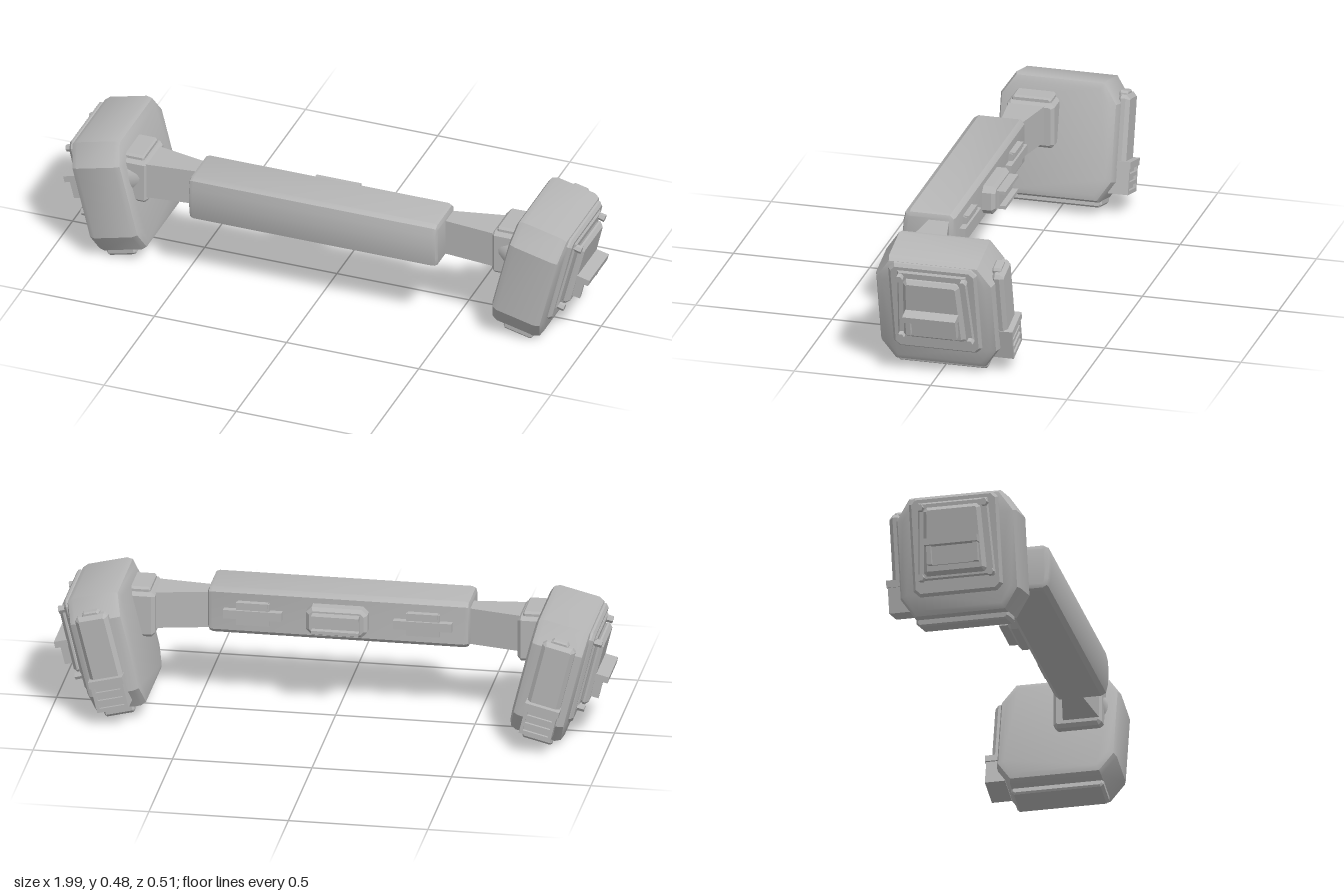
import * as THREE from 'three';
import { toCreasedNormals } from 'three/addons/utils/BufferGeometryUtils.js';

const grey = new THREE.MeshStandardMaterial({ color: 0xb6b6b6 });
grey.name = 'grey';

// Bevelled slab: outline pulled along z from a to b.
function extrude(points, a, b, bevel, segments) {
  const shape = new THREE.Shape(points.map(([u, v]) => new THREE.Vector2(u, v)));
  const g = new THREE.ExtrudeGeometry(shape, {
    depth: b - a - 2 * bevel, bevelEnabled: bevel > 0, bevelThickness: bevel,
    bevelSize: bevel, bevelOffset: -bevel, bevelSegments: segments,
  });
  return g.translate(0, 0, a + bevel);
}

function add(parent, name, geometry) {
  const mesh = new THREE.Mesh(toCreasedNormals(geometry, 0.45), grey);
  mesh.name = name;
  parent.add(mesh);
  return mesh;
}

// Outline given as [z, y], pulled along x from a to b (mirrored when s = -1).
function slabX(parent, name, s, zy, a, b, bevel = 0, segments = 1) {
  const [lo, hi] = s > 0 ? [a, b] : [-b, -a];
  const g = extrude(zy.map(([z, y]) => [-z, y]), lo, hi, bevel, segments);
  return add(parent, name, g.rotateY(Math.PI / 2));
}

// Outline given as [x, y], pulled along z from a to b.
function slabZ(parent, name, xy, a, b, bevel = 0) {
  return add(parent, name, extrude(xy, a, b, bevel, 1));
}

// Rectangle with cut corners.
function cutRect(u0, u1, v0, v1, cu, cv = cu) {
  return [[u0 + cu, v0], [u1 - cu, v0], [u1, v0 + cv], [u1, v1 - cv],
    [u1 - cu, v1], [u0 + cu, v1], [u0, v1 - cv], [u0, v0 + cv]];
}

function box(parent, name, x0, x1, y0, y1, z0, z1, s = 1) {
  const g = new THREE.BoxGeometry(x1 - x0, y1 - y0, z1 - z0);
  return add(parent, name, g.translate(s * (x0 + x1) / 2, (y0 + y1) / 2, (z0 + z1) / 2));
}

function makePod(s) {
  const pod = new THREE.Group();
  pod.name = s > 0 ? 'leftPod' : 'rightPod';
  pod.position.set(s * 0.8, 0.25, 0);
  pod.rotation.z = -s * 0.244;

  // Shell and foot
  slabX(pod, 'podShell', s, cutRect(-0.207, 0.228, -0.219, 0.219, 0.052, 0.078), -0.106, 0.094, 0.028, 2);
  slabX(pod, 'podFoot', s, cutRect(-0.157, 0.177, -0.242, -0.2, 0.01), -0.05, 0.06, 0.006);

  // Stepped outer panel
  slabX(pod, 'outerPanel', s, cutRect(-0.152, 0.172, -0.145, 0.213, 0.022), 0.08, 0.108, 0.01);
  slabX(pod, 'innerPanel', s, [[-0.13, -0.09], [0.15, -0.09], [0.136, 0.19], [-0.116, 0.19]], 0.1, 0.115, 0.006);
  slabX(pod, 'pocketCover', s,
    [[-0.095, -0.078], [0.113, -0.078], [0.122, -0.066], [0.112, 0.155], [0.1, 0.168], [-0.082, 0.168], [-0.094, 0.155], [-0.104, -0.066]],
    0.11, 0.143, 0.013);

  // Bolts
  for (const [z, y] of [[0.125, 0.17], [-0.107, 0.17], [0.135, -0.082], [-0.117, -0.082]]) {
    const g = new THREE.CylinderGeometry(0.013, 0.014, 0.03, 6).rotateZ(Math.PI / 2);
    add(pod, 'bolt', g.translate(s * 0.122, y, z));
  }

  // Latch: overhanging ledge, two posts and a recessed plate
  box(pod, 'latchLedge', 0.13, 0.19, 0.022, 0.046, -0.088, 0.106, s);
  box(pod, 'latchPlate', 0.13, 0.152, -0.045, 0.022, -0.07, 0.088, s);
  for (const z of [-0.083, 0.085]) box(pod, 'latchPost', 0.13, 0.172, -0.045, 0.022, z, z + 0.016, s);

  // Rear strap plate and slatted buckle
  slabZ(pod, 'rearPlate', cutRect(-0.06, 0.06, -0.095, 0.17, 0.012), -0.236, -0.19, 0.014);
  slabZ(pod, 'rearPlateTab', cutRect(-0.032, 0.032, 0.14, 0.182, 0.008), -0.222, -0.19, 0.005);
  box(pod, 'buckleBody', -0.055, 0.055, -0.185, -0.09, -0.243, -0.18);
  box(pod, 'buckleLip', -0.063, 0.063, -0.092, -0.066, -0.257, -0.18);
  for (const x of [-0.058, 0.046]) box(pod, 'buckleSide', x, x + 0.012, -0.185, -0.09, -0.253, -0.18);
  for (let i = 0; i < 3; i++) {
    box(pod, 'buckleSlat', -0.047, 0.047, -0.185 + i * 0.03, -0.171 + i * 0.03, -0.253, -0.24);
  }

  // Round hinge on the inner face
  const hinge = new THREE.CylinderGeometry(0.075, 0.06, 0.05, 24).rotateZ(s * -Math.PI / 2);
  add(pod, 'hinge', hinge.translate(s * -0.118, 0.07, 0.12));
  return pod;
}

function makeLink(s) {
  const link = new THREE.Group();
  link.name = s > 0 ? 'leftLink' : 'rightLink';

  // Connector block with a stepped cap
  slabX(link, 'connectorBlock', s, cutRect(0.005, 0.18, 0.25, 0.418, 0.012), 0.65, 0.76, 0.012);
  slabX(link, 'connectorCap', s, cutRect(0.02, 0.165, 0.4, 0.435, 0.008), 0.668, 0.75, 0.006);

  // Strap tapering towards the belt
  const strap = new THREE.BoxGeometry(0.24, 0.135, 1);
  const p = strap.attributes.position;
  for (let i = 0; i < p.count; i++) {
    const outer = p.getX(i) * s > 0;
    const front = p.getZ(i) > 0;
    p.setZ(i, outer ? (front ? 0.175 : 0.035) : (front ? 0.15 : 0.085));
  }
  strap.computeVertexNormals();
  add(link, 'strap', strap.translate(s * 0.56, 0.342, 0));
  return link;
}

export function createModel() {
  const model = new THREE.Group();
  model.name = 'beltWithPods';

  // Padded belt with a gently bowed front
  slabX(model, 'belt', 1, [
    [0.075, 0.262], [0.225, 0.262], [0.243, 0.272], [0.25, 0.3], [0.253, 0.35],
    [0.25, 0.395], [0.243, 0.425], [0.225, 0.436], [0.075, 0.436], [0.058, 0.42], [0.058, 0.278],
  ], -0.47, 0.47, 0.018, 2);

  // Rear centre buckle: stepped block with a raised rim
  slabZ(model, 'centreBuckle', cutRect(-0.11, 0.11, 0.295, 0.4, 0.02), 0.012, 0.07, 0.012);
  box(model, 'centreBuckleFace', -0.085, 0.085, 0.325, 0.37, 0, 0.03);
  for (const y of [0.315, 0.37]) box(model, 'centreBuckleRim', -0.085, 0.085, y, y + 0.012, -0.022, 0.03);

  // Rear clips
  for (const s of [-1, 1]) {
    box(model, 'clipBar', 0.2, 0.41, 0.33, 0.362, 0.035, 0.07, s);
    box(model, 'clipPlate', 0.245, 0.365, 0.305, 0.388, 0.043, 0.07, s);
    box(model, 'clipTab', 0.25, 0.36, 0.375, 0.392, 0.036, 0.07, s);
    model.add(makeLink(s), makePod(s));
  }
  return model;
}
